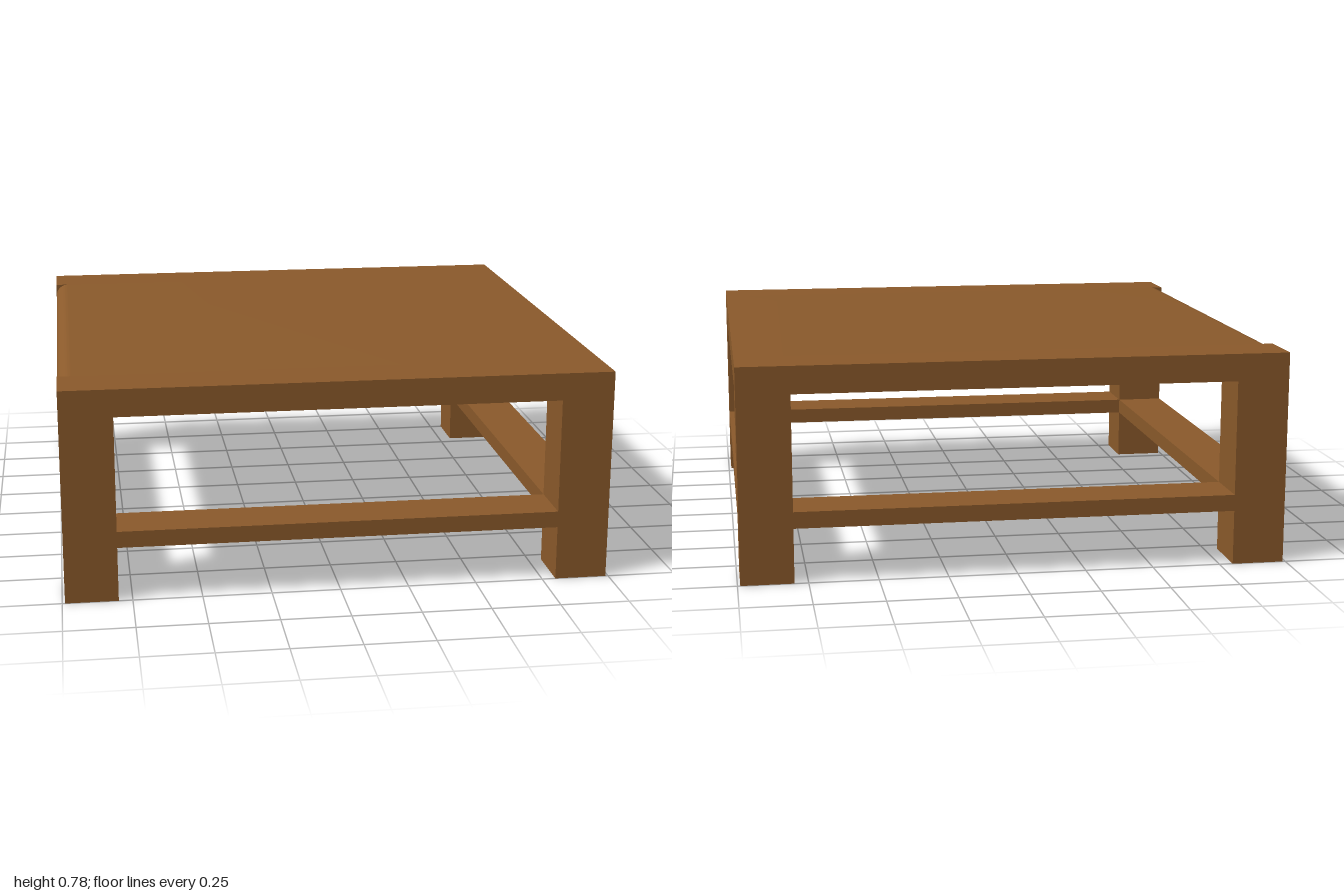
import * as THREE from 'three';
import { toCreasedNormals } from 'three/addons/utils/BufferGeometryUtils.js';

const W = 0.99, D = 1;            // half width and half depth
const LEG_X = 0.8, LEG_Z = 0.8;   // inner faces of the legs
const H = 0.78, TOP = 0.1;        // table height and top thickness

export function createModel() {
  const table = new THREE.Group();
  table.name = 'coffeeTable';
  const wood = new THREE.MeshStandardMaterial({ color: 0x8b5a2b });

  const box = (name, x0, x1, y0, y1, z0, z1) => {
    const mesh = new THREE.Mesh(new THREE.BoxGeometry(x1 - x0, y1 - y0, z1 - z0), wood);
    mesh.position.set((x0 + x1) / 2, (y0 + y1) / 2, (z0 + z1) / 2);
    mesh.name = name;
    table.add(mesh);
  };
  // span between a and b, mirrored to the other side when s is -1
  const span = (s, a, b) => (s > 0 ? [a, b] : [-b, -a]);

  // main top panel, with one rounded long edge between the legs
  const r = TOP / 2;
  const profile = new THREE.Shape();
  profile.moveTo(-W + r, H - TOP);
  profile.lineTo(W, H - TOP);
  profile.lineTo(W, H);
  profile.lineTo(-W + r, H);
  profile.absarc(-W + r, H - r, r, Math.PI / 2, Math.PI * 1.5, false);
  const panel = new THREE.ExtrudeGeometry(profile, { depth: 2 * LEG_Z, bevelEnabled: false, curveSegments: 16 });
  panel.translate(0, 0, -LEG_Z);
  const tableTop = new THREE.Mesh(toCreasedNormals(panel, 0.6), wood);
  tableTop.name = 'tableTop';
  table.add(tableTop);

  for (const s of [1, -1]) {
    const end = s > 0 ? 'front' : 'back';
    const side = s > 0 ? 'left' : 'right';
    // top strips and lower rails between the legs
    box(end + 'TopStrip', -LEG_X, LEG_X, H - TOP, H, ...span(s, LEG_Z, D));
    box(end + 'Stretcher', -LEG_X, LEG_X, 0.2, 0.26, ...span(s, LEG_Z, D));
    box(side + 'Stretcher', ...span(s, LEG_X, W), 0.2, 0.26, -LEG_Z, LEG_Z);
    // square corner legs, flush with the top
    for (const t of [1, -1]) {
      box(end + (t > 0 ? 'Left' : 'Right') + 'Leg', ...span(t, LEG_X, W), 0, H, ...span(s, LEG_Z, D));
    }
  }
  return table;
}
